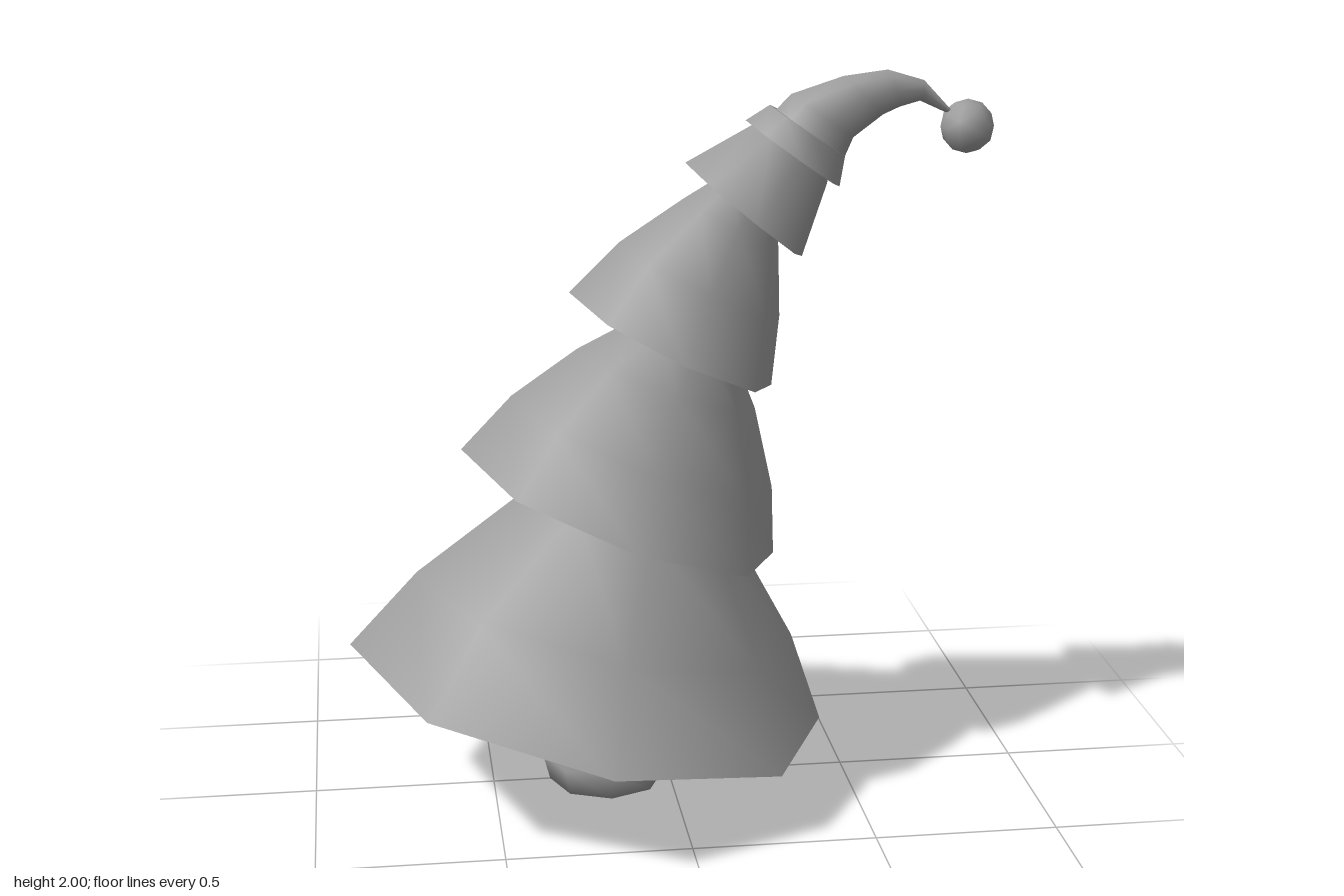
import * as THREE from 'three';

const SIDES = 8;

// Lofts eight-sided rings. Each section is [leftX, leftY, rightX, rightY, halfDepth].
// The underside is hollowed by "hollow"; "softBase" shades it smoothly into the sides.
function loft(sections, hollow = 0, softBase = false) {
  const pos = [], index = [];
  const addRing = ([lx, ly, rx, ry, d]) => {
    const start = pos.length / 3;
    for (let i = 0; i < SIDES; i++) {
      const a = (i / SIDES) * Math.PI * 2, t = (1 + Math.cos(a)) / 2;
      pos.push(lx + (rx - lx) * t, ly + (ry - ly) * t, d * Math.sin(a));
    }
    return start;
  };
  const rings = sections.map(addRing);
  for (let j = 0; j + 1 < rings.length; j++) {
    for (let i = 0; i < SIDES; i++) {
      const n = (i + 1) % SIDES, p = rings[j], q = rings[j + 1];
      // Diagonals mirror front to back.
      if (i < SIDES / 2) index.push(p + i, q + i, q + n, p + i, q + n, p + n);
      else index.push(p + i, q + i, p + n, q + i, q + n, p + n);
    }
  }
  // Separate cap rings keep the rims sharp.
  const first = sections[0];
  const low = softBase ? rings[0] : addRing(first);
  const high = addRing(sections[sections.length - 1]);
  const centre = pos.length / 3;
  pos.push((first[0] + first[2]) / 2, (first[1] + first[3]) / 2 + hollow, 0);
  for (let i = 0; i < SIDES; i++) index.push(centre, low + i, low + (i + 1) % SIDES);
  for (let i = 1; i < SIDES - 1; i++) index.push(high, high + i + 1, high + i);

  const geo = new THREE.BufferGeometry();
  geo.setAttribute('position', new THREE.Float32BufferAttribute(pos, 3));
  geo.setIndex(index);
  geo.computeVertexNormals();
  return geo;
}

export function createModel() {
  const group = new THREE.Group();
  const material = new THREE.MeshStandardMaterial({ color: 0x9c9c9c });
  const add = (name, geometry) => {
    const mesh = new THREE.Mesh(geometry, material);
    mesh.name = name;
    group.add(mesh);
    return mesh;
  };

  add('trunk', loft([
    [-0.34, 0, -0.02, 0, 0.16],
    [-0.36, 0.075, -0.005, 0.075, 0.178],
    [-0.31, 0.31, -0.06, 0.29, 0.125],
    [-0.29, 0.42, -0.08, 0.4, 0.1],
  ], 0, true));

  // Leaning branch tiers, each tucked into the one above
  const tiers = [
    [[-0.89, 0.436, 0.437, 0.144, 0.68], [-0.7, 0.64, 0.35, 0.405, 0.49],
      [-0.35, 0.9, 0.2, 0.685, 0.26], [-0.2, 0.99, 0.13, 0.83, 0.15]],
    [[-0.57, 0.988, 0.296, 0.652, 0.465], [-0.43, 1.135, 0.29, 0.845, 0.345],
      [-0.25, 1.26, 0.24, 1.075, 0.22], [-0.05, 1.36, 0.18, 1.23, 0.11]],
    [[-0.27, 1.417, 0.285, 1.14, 0.308], [-0.135, 1.55, 0.305, 1.335, 0.215],
      [0.04, 1.665, 0.3, 1.525, 0.125], [0.15, 1.73, 0.29, 1.64, 0.07]],
    [[0.045, 1.762, 0.365, 1.499, 0.208], [0.235, 1.865, 0.43, 1.695, 0.115],
      [0.3, 1.88, 0.445, 1.765, 0.075]],
  ];
  tiers.forEach((sections, i) =>
    add('branchTier' + (i + 1), loft(sections, sections[0][4] * 0.12)));

  add('hatBrim', loft([
    [0.207, 1.872, 0.465, 1.687, 0.132],
    [0.272, 1.912, 0.479, 1.772, 0.108],
  ]));

  // Drooping hat that bends over to its tip
  add('hat', loft([
    [0.28, 1.89, 0.472, 1.755, 0.095],
    [0.33, 1.94, 0.5, 1.82, 0.083],
    [0.47, 1.985, 0.58, 1.88, 0.06],
    [0.59, 2.0, 0.625, 1.9, 0.045],
    [0.69, 1.97, 0.68, 1.915, 0.027],
    [0.765, 1.89, 0.752, 1.882, 0.008],
  ]));

  add('pompom', new THREE.IcosahedronGeometry(0.074, 1)).position.set(0.815, 1.842, -0.012);

  return group;
}
